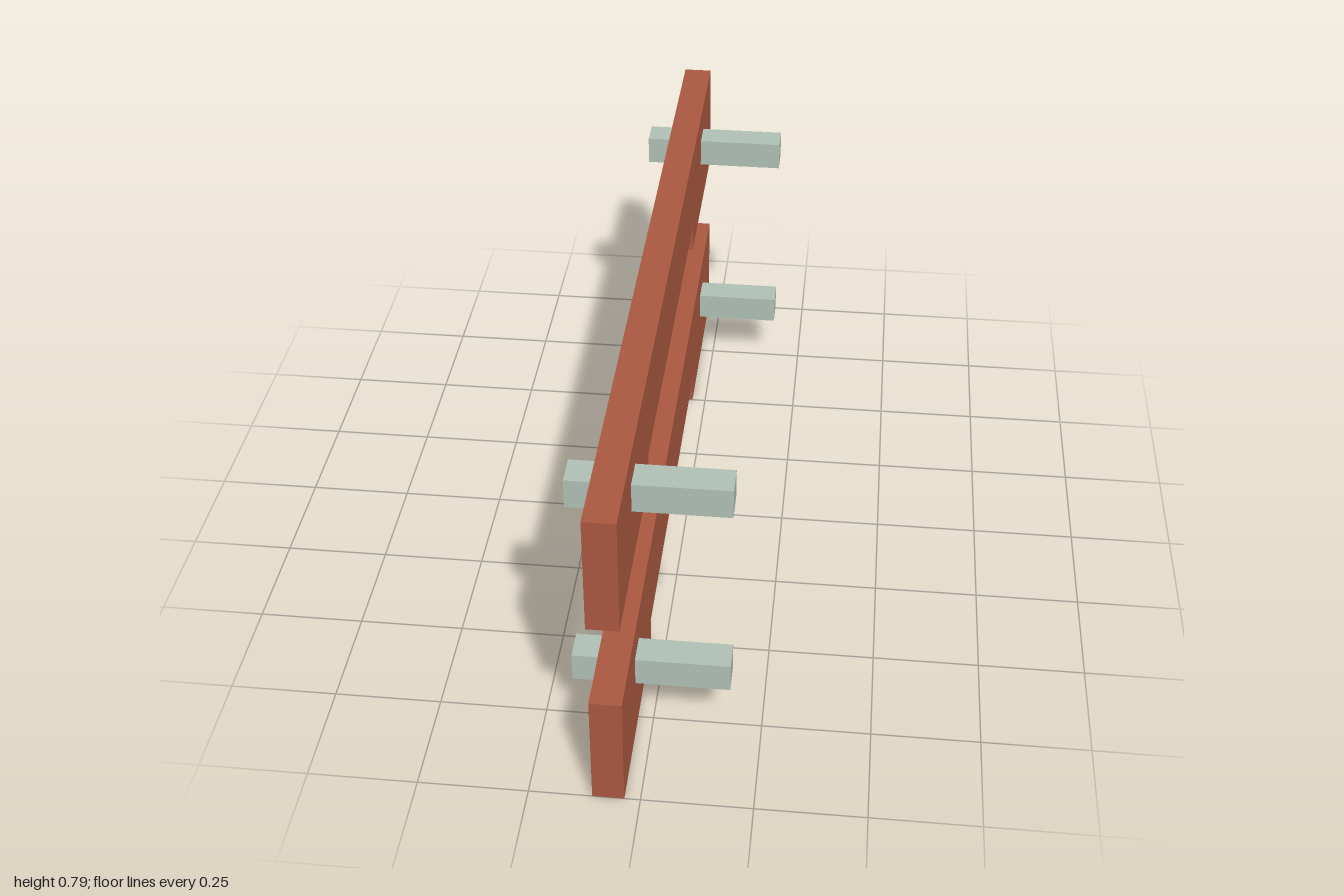
import * as THREE from 'three';

const UNIT = 1 / 14; // thickness of a plank and of a peg

export function createModel() {
  const wood = new THREE.MeshStandardMaterial({ color: 0xa9583f });
  wood.name = 'red wood';
  const peg = new THREE.MeshStandardMaterial({ color: 0xafbfb5 });
  peg.name = 'pale grey green';

  // Plank outline seen from the side, with a shallow notch underneath
  const outline = new THREE.Shape(
    [[-1, 0], [-0.5, 0], [-0.5, UNIT], [0.5, UNIT], [0.5, 0], [1, 0], [1, 4 * UNIT], [-1, 4 * UNIT]]
      .map(([z, y]) => new THREE.Vector2(z, y))
  );
  const plankGeometry = new THREE.ExtrudeGeometry(outline, { depth: UNIT, bevelEnabled: false });
  plankGeometry.rotateY(Math.PI / 2).translate(-1.5 * UNIT, 0, 0);

  const pegGeometry = new THREE.BoxGeometry(5 * UNIT, UNIT, UNIT);

  // Two identical rails, one above the other
  const model = new THREE.Group();
  model.name = 'railPair';
  for (const [name, y] of [['lowerRail', 0], ['upperRail', 0.5]]) {
    const rail = new THREE.Group();
    rail.name = name;
    rail.position.y = y;

    const plank = new THREE.Mesh(plankGeometry, wood);
    plank.name = 'plank';
    rail.add(plank);

    // Square pegs passing through the plank near each end
    for (const [pegName, side] of [['frontPeg', 1], ['backPeg', -1]]) {
      const mesh = new THREE.Mesh(pegGeometry, peg);
      mesh.name = pegName;
      mesh.position.set(0, 2.5 * UNIT, side * 0.75);
      rail.add(mesh);
    }
    model.add(rail);
  }
  return model;
}
